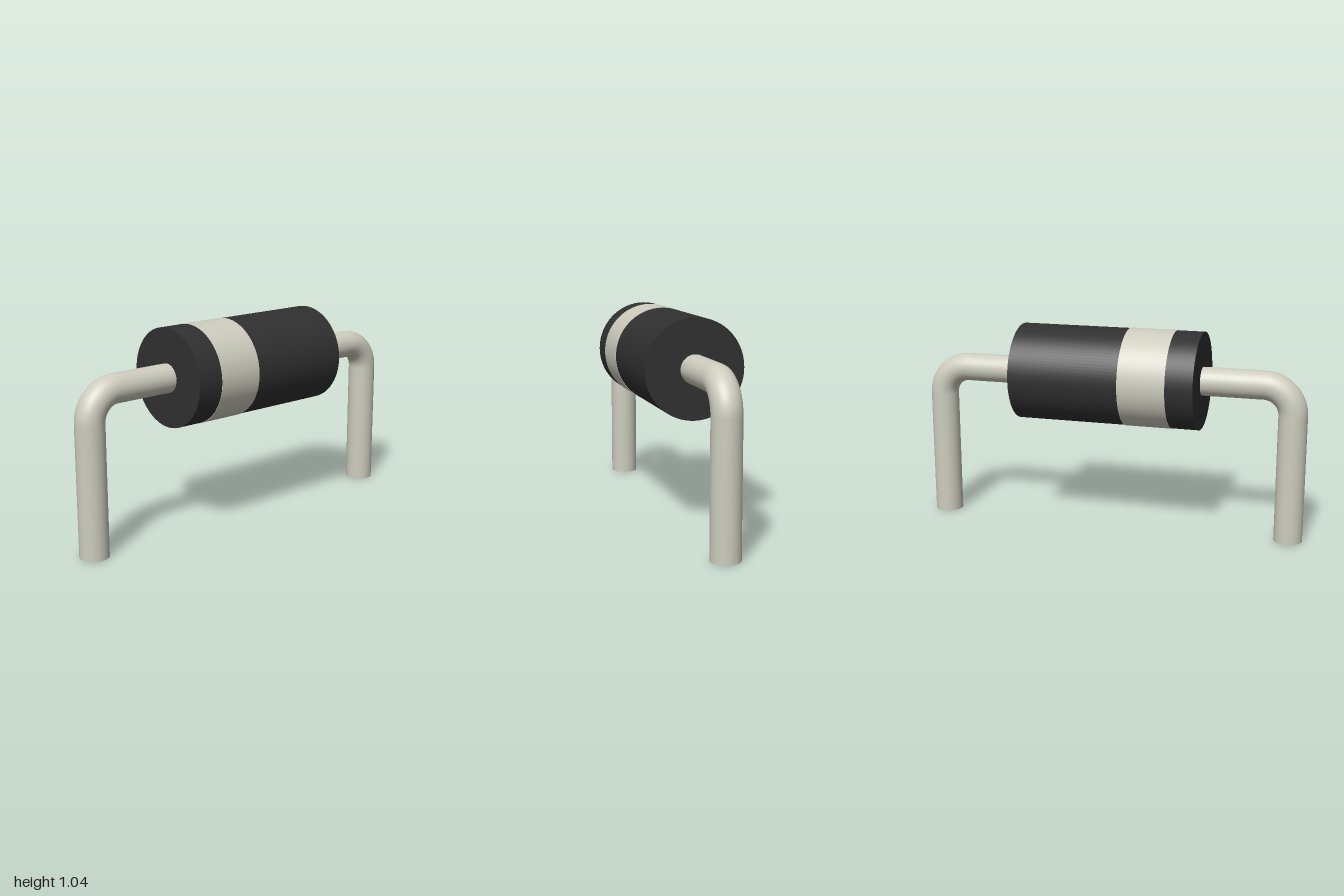
import * as THREE from 'three';

const AXIS_Y = 0.796;   // height of the body axis
const WIRE_R = 0.072;
const LEG_X = 0.928;
const BEND_R = 0.146;

export function createModel() {
  const black = new THREE.MeshStandardMaterial({ color: 0x303030 });
  black.name = 'black body';
  const metal = new THREE.MeshStandardMaterial({ color: 0xcdccbe });
  metal.name = 'pale metal';

  const model = new THREE.Group();
  model.name = 'axialDiode';

  const add = (parent, name, geometry, material) => {
    const mesh = new THREE.Mesh(geometry, material);
    mesh.name = name;
    parent.add(mesh);
    return mesh;
  };

  // Cylinder lying along x between two positions
  const rod = (parent, name, radius, x0, x1, material, sides = 96) => {
    const geometry = new THREE.CylinderGeometry(radius, radius, x1 - x0, sides);
    geometry.rotateZ(-Math.PI / 2);
    geometry.translate((x0 + x1) / 2, AXIS_Y, 0);
    return add(parent, name, geometry, material);
  };

  // Body with a slightly raised polarity band
  rod(model, 'body', 0.246, -0.473, 0.473, black);
  rod(model, 'polarityBand', 0.248, -0.335, -0.095, metal);

  // Bent wire: horizontal run, quarter bend, vertical leg
  const makeLead = (name) => {
    const lead = new THREE.Group();
    lead.name = name;
    const bendX = LEG_X - BEND_R;
    const bendY = AXIS_Y - BEND_R;
    rod(lead, 'wire', WIRE_R, 0.46, bendX, metal, 48);
    const bend = new THREE.TorusGeometry(BEND_R, WIRE_R, 48, 24, Math.PI / 2);
    add(lead, 'bend', bend, metal).position.set(bendX, bendY, 0);
    const leg = new THREE.CylinderGeometry(WIRE_R, WIRE_R, bendY, 48);
    add(lead, 'leg', leg, metal).position.set(LEG_X, bendY / 2, 0);
    model.add(lead);
    return lead;
  };

  makeLead('leftLead');
  makeLead('rightLead').rotation.y = Math.PI;

  return model;
}
